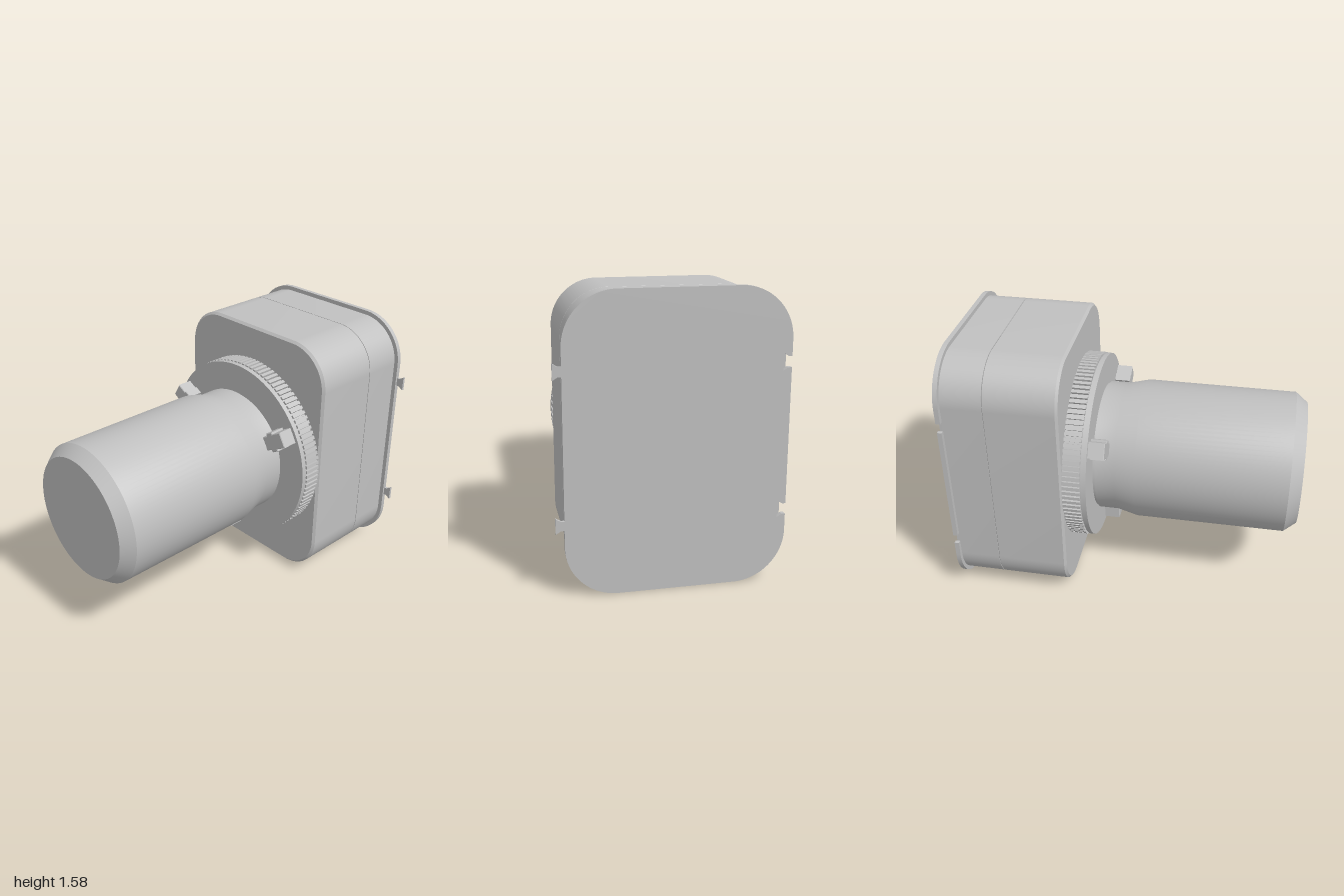
import * as THREE from 'three';
import { toCreasedNormals } from 'three/addons/utils/BufferGeometryUtils.js';

const CX = -0.0225, CY = 0.79;
const grey = new THREE.MeshStandardMaterial({ color: 0xc0c0c0 });
grey.name = 'light grey';

function add(parent, name, geometry) {
  const mesh = new THREE.Mesh(toCreasedNormals(geometry, 0.5), grey);
  mesh.name = name;
  parent.add(mesh);
  return mesh;
}

// Extrude a shape from z0 to z1
function slab(shape, z0, z1, bevel = 0) {
  return new THREE.ExtrudeGeometry(shape, {
    depth: z1 - z0 - 2 * bevel, curveSegments: 16, bevelEnabled: bevel > 0,
    bevelSize: bevel, bevelThickness: bevel, bevelOffset: -bevel, bevelSegments: 1,
  }).translate(0, 0, z0 + bevel);
}

const polygon = (pts) => new THREE.Shape(pts.map(([x, y]) => new THREE.Vector2(x, y)));

// Rounded rectangle about the origin; notches are heights cut into its -x edge
function roundedRect(w, h, r, notches = []) {
  const s = new THREE.Shape(), a = w / 2, b = h / 2;
  s.moveTo(-a + r, -b);
  s.lineTo(a - r, -b);
  s.absarc(a - r, -b + r, r, -Math.PI / 2, 0);
  s.lineTo(a, b - r);
  s.absarc(a - r, b - r, r, 0, Math.PI / 2);
  s.lineTo(-a + r, b);
  s.absarc(-a + r, b - r, r, Math.PI / 2, Math.PI);
  for (const y of notches) {
    s.lineTo(-a, y + 0.029);
    s.lineTo(-a + 0.018, y + 0.029);
    s.lineTo(-a + 0.045, y + 0.045);
    s.lineTo(-a + 0.045, y - 0.045);
    s.lineTo(-a + 0.018, y - 0.029);
    s.lineTo(-a, y - 0.029);
  }
  s.lineTo(-a, -b + r);
  s.absarc(-a + r, -b + r, r, Math.PI, Math.PI * 1.5);
  return s;
}

export function createModel() {
  const model = new THREE.Group();
  model.name = 'housingWithBarrel';
  const core = new THREE.Group();
  core.name = 'core';
  core.position.set(CX, CY, 0);
  model.add(core);

  // Back plate with dovetail notches on one edge and tabs on the other
  const latchHeights = [0.397, -0.393];
  add(core, 'backPlate', slab(roundedRect(1.165, 1.575, 0.275, latchHeights), -1, -0.973));
  for (const y of latchHeights) {
    const tab = polygon([[0.575, y - 0.025], [0.6, y - 0.025], [0.6275, y - 0.042],
      [0.6275, y + 0.042], [0.6, y + 0.025], [0.575, y + 0.025]]);
    add(core, 'dovetailTab', slab(tab, -1, -0.985));
  }

  // Housing halves, meeting at a fine seam
  const outline = roundedRect(1.115, 1.525, 0.25);
  add(core, 'rearHousing', slab(outline, -0.976, -0.738));
  add(core, 'frontHousing', slab(outline, -0.748, -0.322, 0.014));

  // Thin panel with a port slot on the underside
  const panel = roundedRect(0.52, 0.28, 0.01);
  const slot = new THREE.Path();
  slot.moveTo(-0.1, -0.05);
  slot.lineTo(0.1, -0.05);
  slot.absarc(0.05, -0.03, 0.05, 0, Math.PI / 2);
  slot.lineTo(-0.05, 0.02);
  slot.absarc(-0.05, -0.03, 0.05, Math.PI / 2, Math.PI);
  panel.holes.push(slot);
  add(core, 'bottomPanel', slab(panel, 0, 0.008).rotateX(Math.PI / 2))
    .position.set(0, -0.76, -0.65);

  // Knurled ring
  const teeth = 110, rim = [];
  for (let i = 0; i < teeth; i++) {
    [[0, 0.558], [0.6, 0.558], [0.62, 0.544], [0.98, 0.544]].forEach(([f, r]) => {
      const t = ((i + f) / teeth) * Math.PI * 2;
      rim.push([r * Math.cos(t), r * Math.sin(t)]);
    });
  }
  add(core, 'knurledRing', slab(polygon(rim), -0.324, -0.222));

  // Flange and barrel, turned around the z axis
  const turned = (name, pts) => add(core, name, new THREE.LatheGeometry(
    pts.map(([r, z]) => new THREE.Vector2(r, z)), 96).rotateX(Math.PI / 2));
  turned('flange', [[0.54, -0.225], [0.54, -0.214], [0.555, -0.214], [0.555, -0.186], [0, -0.186]]);
  turned('barrel', [[0.375, -0.19], [0.375, -0.172], [0.386, -0.172], [0.386, -0.06],
    [0.415, 0.06], [0.415, 0.93], [0.36, 1], [0, 1]]);

  // Three stepped lugs around the barrel
  const lugShape = polygon([[0.37, -0.042], [0.42, -0.042], [0.42, -0.058], [0.47, -0.058],
    [0.47, -0.046], [0.535, -0.046], [0.535, 0.046], [0.47, 0.046], [0.47, 0.058],
    [0.42, 0.058], [0.42, 0.042], [0.37, 0.042]]);
  for (const degrees of [30, 150, 270]) {
    add(core, 'lug', slab(lugShape, -0.19, -0.093, 0.004))
      .rotation.z = THREE.MathUtils.degToRad(degrees);
  }
  return model;
}
